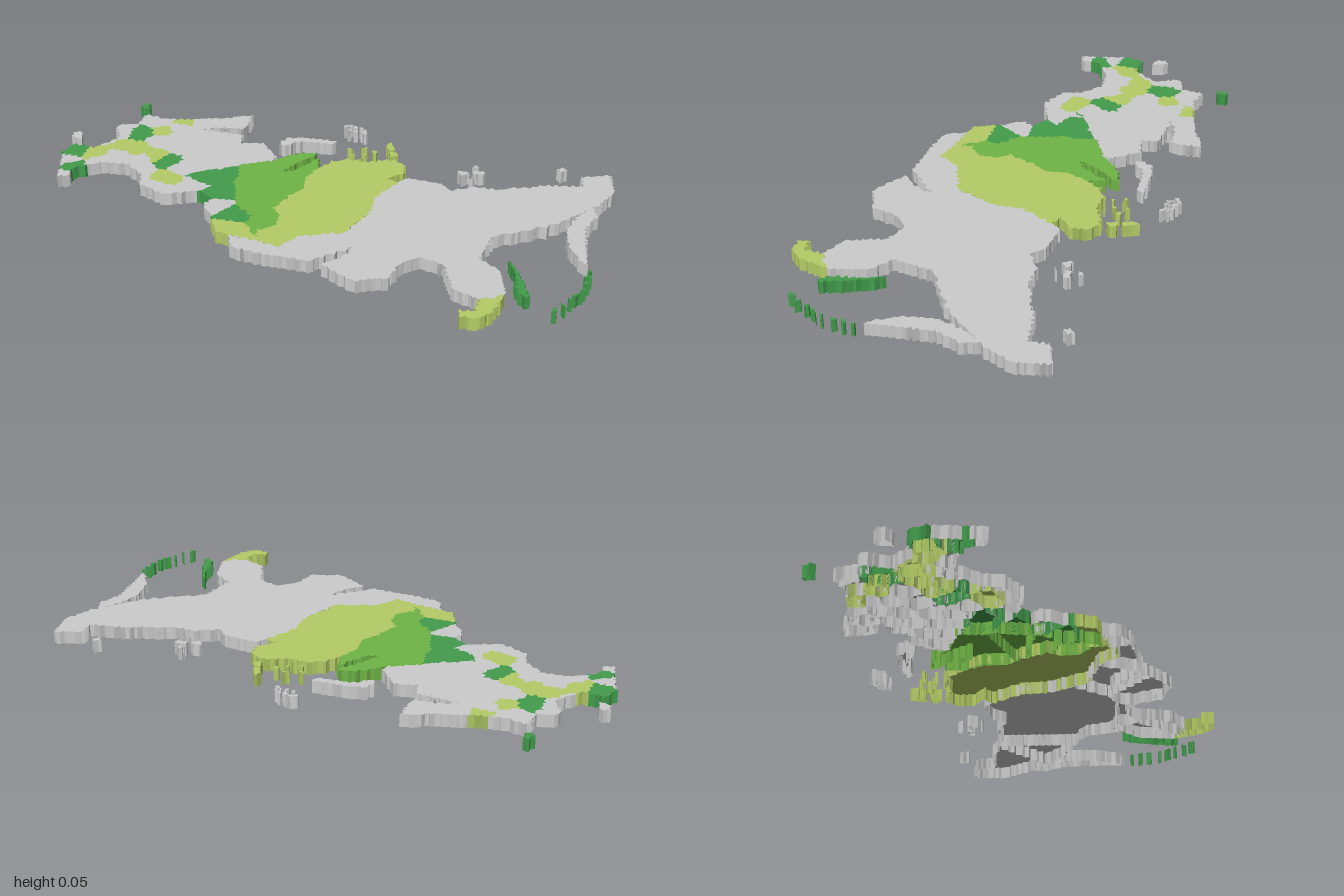
import * as THREE from 'three';

// Plan coordinates are hundredths of a unit: x to the right, z toward the front.
const HEIGHT = 0.045;
const material = (color) =>
  new THREE.MeshStandardMaterial({ color, flatShading: true, side: THREE.DoubleSide });
const MAT = {
  grey: material(0xcccccc),
  lime: material(0xb5cc66),
  green: material(0x70b546),
  dark: material(0x429c4c),
};

const path = (...flat) => {
  const out = [];
  for (let i = 0; i < flat.length; i += 2) out.push([flat[i], flat[i + 1]]);
  return out;
};

// Ragged borders: the shift depends on position only, so neighbours still meet
const warp = ([x, z]) => [
  x + 0.5 * Math.sin(2.3 * z + 0.9 * x) + 0.3 * Math.sin(4.1 * z - 1.7 * x),
  z + 0.5 * Math.sin(2.1 * x - 0.8 * z) + 0.3 * Math.sin(3.7 * x + 1.9 * z),
];

function ragged(points) {
  const out = [];
  points.forEach(([x, z], i) => {
    const [u, w] = points[(i + 1) % points.length];
    const length = Math.hypot(u - x, w - z);
    if (length < 0.01) return;
    const n = Math.max(1, Math.round(length / 1.1));
    for (let k = 0; k < n; k++) out.push(warp([x + ((u - x) * k) / n, z + ((w - z) * k) / n]));
  });
  return out;
}

// A raised plate: top and walls, open underneath
function plate(name, color, points) {
  const shape = new THREE.Shape(ragged(points).map(([x, z]) => new THREE.Vector2(x / 100, -z / 100)));
  const solid = new THREE.ExtrudeGeometry(shape, { depth: HEIGHT, bevelEnabled: false });
  const skip = (solid.groups[0].count / 2) * 3; // lower lid comes first
  const geometry = new THREE.BufferGeometry();
  for (const key of ['position', 'normal']) {
    geometry.setAttribute(key, new THREE.BufferAttribute(solid.attributes[key].array.slice(skip), 3));
  }
  geometry.rotateX(-Math.PI / 2);
  const mesh = new THREE.Mesh(geometry, MAT[color]);
  mesh.name = name;
  return mesh;
}

// Keeps the part of a polygon nearer to seed a than to seed b (weights grow a cell)
function clip(points, a, b) {
  const nx = b.x - a.x, nz = b.z - a.z;
  const limit = (b.x ** 2 + b.z ** 2 - a.x ** 2 - a.z ** 2 + a.weight - b.weight) / 2;
  const side = (p) => p[0] * nx + p[1] * nz - limit;
  const out = [];
  points.forEach((p, i) => {
    const q = points[(i + 1) % points.length];
    const s = side(p), t = side(q);
    if (s <= 0) out.push(p);
    if (s < 0 !== t < 0 && s !== t) {
      const k = s / (s - t);
      out.push([p[0] + (q[0] - p[0]) * k, p[1] + (q[1] - p[1]) * k]);
    }
  });
  return out;
}

const seed = (x, z, color = 'grey', weight = 0) => ({ x, z, color, weight });

// Divides an outline into districts around seeds
function districts(name, outline, seeds) {
  const group = new THREE.Group();
  group.name = name;
  seeds.forEach((a, i) => {
    let cell = outline;
    for (const b of seeds) if (b !== a) cell = clip(cell, a, b);
    if (cell.length > 2) group.add(plate(`${name}District${i + 1}`, a.color, cell));
  });
  return group;
}

// Borders shared by neighbouring lands, north to south
const RIDGE = path(-32, -3, -38, 4, -47, 12, -48, 15, -36, 17, -38, 22);
const RIVER = path(-9, -11, -10, -3, -7, 4, -9, 11, -10, 20, -6, 24, -4, 30, -8, 35, -6, 41);
const BASIN = path(20, -14, 17, -1, 20, 8, 18, 24, 6, 32, 3, 41);

const WEST = [...RIDGE, ...path(
  -44, 26, -47, 29, -58, 27, -62, 21, -70, 17, -79, 20, -85, 28, -84, 33, -87, 35, -90, 28, -95, 20,
  -95, 13, -87, 12, -83, 2, -89, -6, -83, -10, -84, -18, -77, -18, -68, -22, -59, -27, -49, -35,
  -46, -24, -54, -22, -60, -17, -54, -18, -45, -20, -42, -14, -35, -18, -26, -11, -26, -8)];
const LOWLAND = [...RIVER, ...path(-20, 42, -26, 34, -32, 29, -31, 24), ...[...RIDGE].reverse(),
  ...path(-26, -8, -20, -17, -14, -20, -18, -8, -19, -3, -16, -5, -12, -17)];
const PLATEAU = [...RIVER, ...[...BASIN].reverse(),
  ...path(15, -15, 19, -20, 17, -26, 12, -28, 3, -22, -3, -21, -7, -17)];
const EAST = [...BASIN, ...path(
  -6, 41, -15, 42, -10, 48, 1, 47, 16, 44, 25, 29, 24, 37, 20, 44, 33, 48, 42, 42, 42, 33, 46, 26,
  55, 27, 62, 38, 72, 40, 78, 34, 72, 22, 63, 18, 62, 4, 70, -4, 78, -13, 86, -30, 88, -41,
  83, -52, 75, -46, 77, -40, 66, -35, 52, -25, 44, -23, 38, -17, 33, -20, 21, -18)];

// Western districts: coloured ones placed, grey ones on a staggered lattice around them
function westSeeds() {
  const seeds = [
    ...path(-69, -20, -72, -10, -78, 7, -73, 6, -64, 8, -84, 15, -53, 19).map(([x, z]) => seed(x, z, 'lime')),
    ...path(-78, -5, -59, 9, -92, 17, -87, 28).map(([x, z]) => seed(x, z, 'dark')),
  ];
  const coloured = [...seeds];
  for (let row = 0; row < 10; row++) {
    for (let col = 0; col < 9; col++) {
      const x = -92 + col * 8 + (row % 2) * 4 + Math.sin(row * 5 + col * 3);
      const z = -29 + row * 6.8 + Math.cos(row * 2 + col * 7);
      if (coloured.every((s) => Math.hypot(s.x - x, s.z - z) > 4.8)) seeds.push(seed(x, z));
    }
  }
  return seeds;
}

const LOWLAND_SEEDS = [
  seed(-22, 2, 'green'), seed(-22, 14, 'green'), seed(-16, 23, 'green'), seed(-9, 29, 'green'),
  seed(-41, 11, 'dark'), seed(-31, 20, 'dark'), seed(-19, 30, 'dark'), seed(-29, 27), seed(-17, 38, 'lime'),
];
const EAST_SEEDS = [
  seed(40, -2, 'grey', 650), seed(20, 30), seed(-11, 44), seed(3, 44), seed(36, 38), seed(50, 24),
  seed(66, 24), seed(60, 34), seed(68, -14), seed(76, -34),
];

// Rounded island: centre, half sizes and turn
function island(name, color, x, z, rx, rz, turn = 0) {
  const ring = Array.from({ length: 10 }, (_, k) => {
    const a = (k * Math.PI) / 5;
    const u = rx * Math.cos(a), w = rz * Math.sin(a);
    return [x + u * Math.cos(turn) - w * Math.sin(turn), z + u * Math.sin(turn) + w * Math.cos(turn)];
  });
  return plate(name, color, ring);
}

// Islets spread over an oval by the golden angle
function islets(name, color, count, x, z, rx, rz) {
  return Array.from({ length: count }, (_, i) => {
    const r = Math.sqrt((i + 0.5) / count), a = i * 2.4;
    return island(`${name}${i + 1}`, color, x + rx * r * Math.cos(a), z + rz * r * Math.sin(a),
      0.6 + 0.3 * (i % 3), 0.4 + 0.15 * (i % 3));
  });
}

export function createModel() {
  const model = new THREE.Group();
  model.name = 'reliefMap';
  model.add(
    districts('western', WEST, westSeeds()),
    districts('lowland', LOWLAND, LOWLAND_SEEDS),
    plate('centralPlateau', 'lime', PLATEAU),
    districts('eastern', EAST, EAST_SEEDS),
    plate('easternPeninsula', 'grey', path(82, -20, 82, -10, 85, -3, 90, 3, 95, 7, 92, 0, 87, -14, 88, -24, 85, -28)),
    plate('southEasternCoast', 'lime', path(72, 40, 78, 34, 78, 44, 75, 50, 70, 51, 68.5, 48, 73, 46)),
    plate('longNorthernIsland', 'grey', path(-30, -20, -29, -25, -25, -28, -12, -31, -12, -28.5, -24, -25, -27, -20)),
    plate('longEasternIsland', 'dark', path(72, 15, 77, 20, 81, 26, 85, 31, 84, 33, 80, 29, 76, 21)),
    island('westernExclave', 'dark', -88, -24, 1.2, 2, -0.4),
    island('southWesternPeninsula', 'grey', -97.4, 7, 2.8, 1.6, 0.9),
    island('northCapeIsland', 'lime', 7, -36, 2.8, 1.3, 1.1),
    island('southCapeIsland', 'lime', 10, -31.5, 2.2, 1.4, 0.8),
    island('northEasternIsland', 'grey', 66.8, -48, 1.1, 1.4),
    island('northEastIsletWest', 'grey', 37, -30, 2, 1.3),
    island('northEastIsletEast', 'grey', 42, -33, 2, 1, -0.5),
    ...islets('farNorthIslet', 'grey', 9, -11, -42.5, 5, 2.5),
    ...islets('capeIslet', 'lime', 6, -1, -27, 5, 6),
    ...islets('northEastIslet', 'grey', 4, 39, -32, 4, 5),
  );
  // Curved chain of islets off the eastern coast
  for (let i = 0; i < 8; i++) {
    const z = 34.5 - i * 3.6;
    const x = 98 - 3.5 * ((z - 19) / 15) ** 2;
    model.add(island(`chainIslet${i + 1}`, 'dark', x, z, 0.5, i % 3 ? 0.8 : 1.3, 0.3));
  }
  return model;
}
